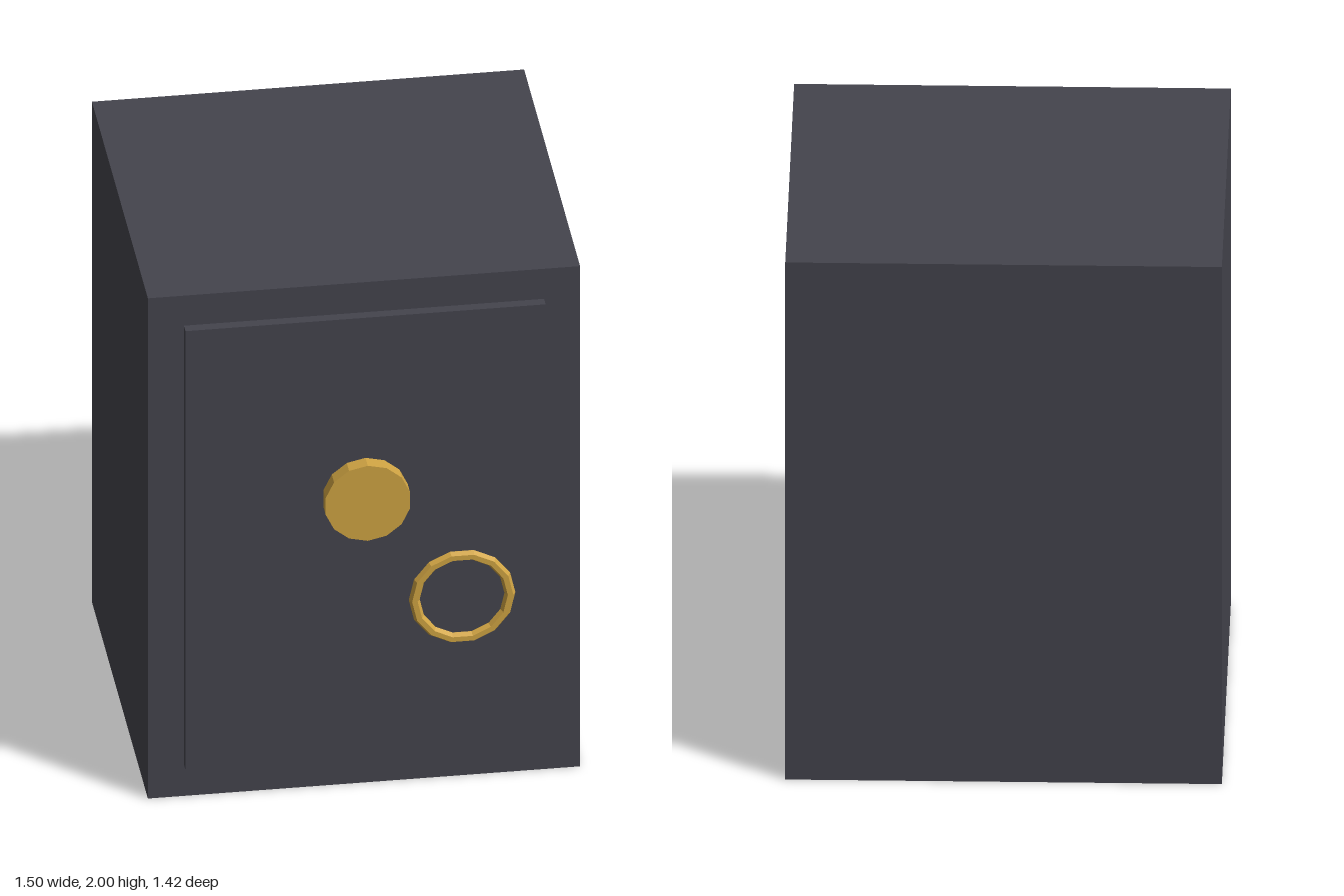
import * as THREE from 'three';

export function createModel() {
  const group = new THREE.Group();
  const steel = new THREE.MeshStandardMaterial({ color: 0x44444d });
  steel.name = 'dark steel';
  const brass = new THREE.MeshStandardMaterial({ color: 0xd0a443 });
  brass.name = 'brass';

  const add = (name, geometry, material, x, y, z) => {
    // split vertices so every facet stays crisp
    const flat = geometry.toNonIndexed();
    flat.computeVertexNormals();
    const mesh = new THREE.Mesh(flat, material);
    mesh.name = name;
    mesh.position.set(x, y, z);
    group.add(mesh);
  };

  // Cabinet and raised door panel
  add('cabinet', new THREE.BoxGeometry(1.5, 2, 1.333), steel, 0, 1, -0.046);
  add('door', new THREE.BoxGeometry(1.25, 1.754, 0.06), steel, 0, 1.003, 0.628);

  // Round combination dial
  const dial = new THREE.CylinderGeometry(0.15, 0.15, 0.07, 14).rotateX(Math.PI / 2);
  add('dial', dial, brass, 0, 1.17, 0.677);

  // Ring handle
  add('ringHandle', new THREE.TorusGeometry(0.166, 0.019, 6, 14), brass, 0.331, 0.755, 0.685);

  return group;
}
